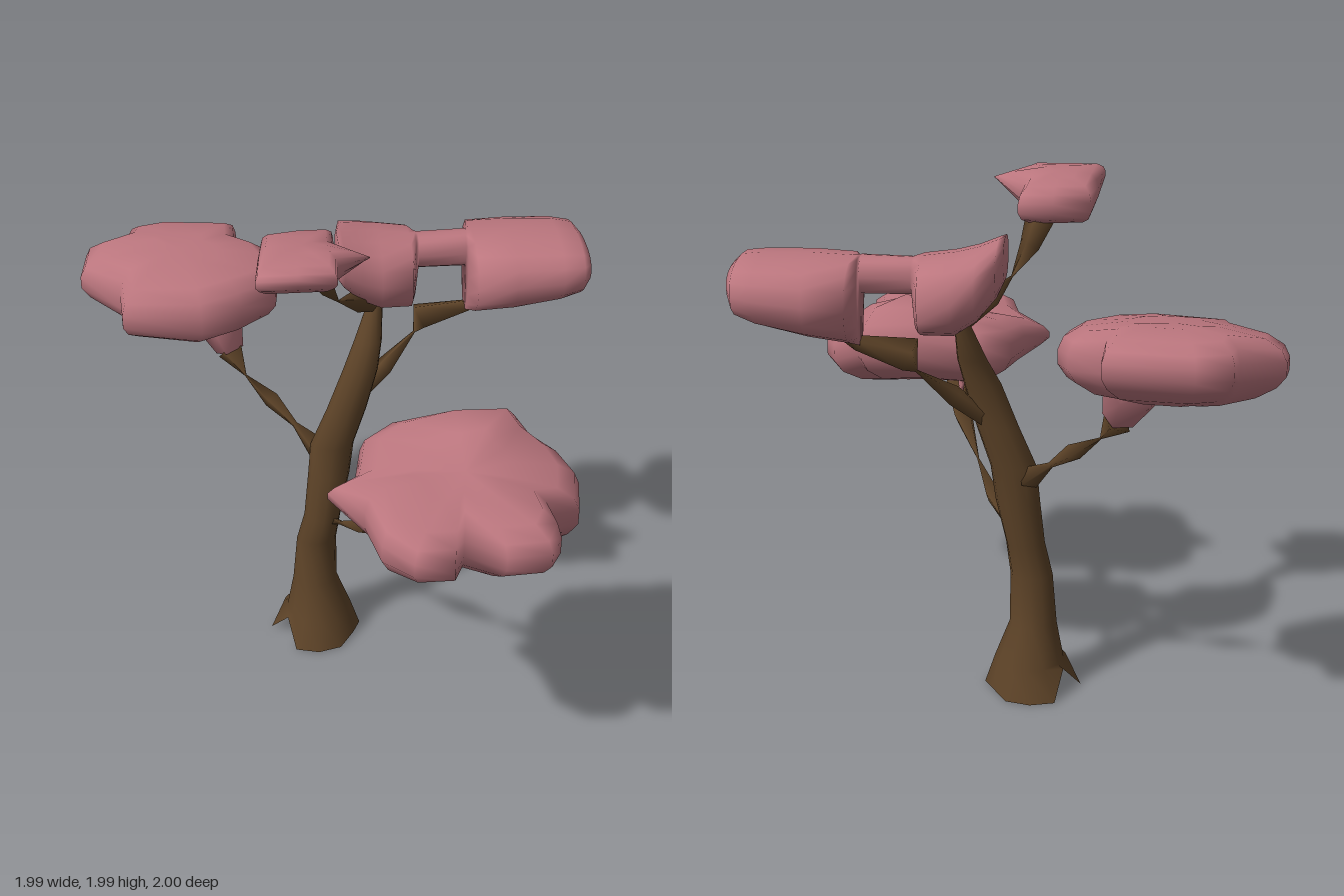
import * as THREE from 'three';

const bark = new THREE.MeshStandardMaterial({ color: 0x5c4227, side: THREE.DoubleSide });
const blossom = new THREE.MeshStandardMaterial({ color: 0xbb767e });
const V = (x, y, z) => new THREE.Vector3(x, y, z);

// Skin a list of closed rings (equal point counts), cap the ends, face outwards.
function loft(name, rings, material, capStart = true) {
  const n = rings[0].length, pts = rings.flat(), idx = [];
  for (let r = 0; r < rings.length - 1; r++) {
    for (let i = 0; i < n; i++) {
      const a = r * n + i, b = r * n + (i + 1) % n;
      idx.push(a, b, b + n, a, b + n, a + n);
    }
  }
  const cap = (start, flip) => {
    const c = V(0, 0, 0);
    for (let i = 0; i < n; i++) c.addScaledVector(pts[start + i], 1 / n);
    const k = pts.push(c) - 1;
    for (let i = 0; i < n; i++) {
      const a = start + i, b = start + (i + 1) % n;
      idx.push(k, flip ? b : a, flip ? a : b);
    }
  };
  if (capStart) cap(0, true);
  cap((rings.length - 1) * n, false);
  // reverse the winding when the enclosed volume is negative
  let volume = 0;
  const mid = pts[pts.length - 1], t = [V(), V(), V()];
  for (let i = 0; i < idx.length; i += 3) {
    t.forEach((v, k) => v.subVectors(pts[idx[i + k]], mid));
    volume += t[0].dot(t[1].clone().cross(t[2]));
  }
  if (volume < 0) idx.reverse();
  const geo = new THREE.BufferGeometry().setFromPoints(pts);
  geo.setIndex(idx);
  geo.computeVertexNormals();
  const mesh = new THREE.Mesh(geo, material);
  mesh.name = name;
  return mesh;
}

// Flat-sided branch along [x, y, z, radius] stops; it pinches where the radius is tiny.
function branch(name, stops, material = bark) {
  const p = stops.map(s => V(s[0], s[1], s[2]));
  const rings = stops.map((s, i) => {
    const dir = p[Math.min(i + 1, p.length - 1)].clone().sub(p[Math.max(i - 1, 0)]).normalize();
    const u = V(-dir.z, 0, dir.x).normalize(), v = dir.clone().cross(u);
    return [0, 1, 2, 3].map(k => {
      const a = k * Math.PI / 2 + 0.4;
      return p[i].clone().addScaledVector(u, s[3] * Math.cos(a)).addScaledVector(v, s[3] * Math.sin(a));
    });
  });
  return loft(name, rings, material);
}

// Lobed cushion: outline of [x, z, y, thickness], rounded over above and below its centre.
function cushion(name, centre, outline, h, bump = () => 0) {
  const profile = [[0.4, -1], [0.74, -0.88], [0.92, -0.6], [1, -0.25], [1, 0.2], [0.95, 0.58], [0.8, 0.87], [0.4, 1]];
  const rings = profile.map(([s, d]) => outline.map(([x, z, y, thick = 1]) => {
    const px = centre[0] + (x - centre[0]) * s, pz = centre[2] + (z - centre[2]) * s;
    const dy = d * THREE.MathUtils.lerp(1, thick, s * s) * (h + (d > 0 ? bump(px, pz) : 0));
    return V(px, centre[1] + (y - centre[1]) * s + dy, pz);
  }));
  return loft(name, rings, blossom);
}

export function createModel() {
  const tree = new THREE.Group();
  tree.name = 'tree';

  // Trunk: [x, y, z, radiusX, radiusZ], the foot flares into root points with a deep notch either side of the right one
  const notches = [0, 0.02, 0, 0, 0, 0.1, 0, 0.1, 0, 0, 0, 0.02];
  const trunk = [
    [-0.09, 0, -0.245, 0.19, 0.195], [-0.075, 0.12, -0.245, 0.135, 0.15], [-0.09, 0.27, -0.245, 0.092, 0.09],
    [-0.083, 0.47, -0.24, 0.082, 0.06], [-0.058, 0.6, -0.23, 0.075, 0.08], [-0.03, 0.78, -0.25, 0.085, 0.062],
    [-0.015, 0.92, -0.26, 0.088, 0.06], [0.045, 1.08, -0.265, 0.08, 0.06], [0.1, 1.25, -0.275, 0.07, 0.055],
    [0.135, 1.36, -0.32, 0.055, 0.05], [0.165, 1.5, -0.36, 0.03, 0.035], [0.19, 1.58, -0.39, 0.02, 0.02],
  ].map(([x, y, z, rx, rz], r) => notches.map((notch, i) => {
    const a = i / 12 * Math.PI * 2, up = r === 0 ? notch : 0, k = 1 - up * 2.5;
    return V(x + rx * k * Math.cos(a), y + up, z + rz * k * Math.sin(a));
  }));
  tree.add(loft('trunk', trunk, bark, false));

  // Branches
  tree.add(branch('rightBranch', [[-0.07, 0.88, -0.28, 0.05], [-0.16, 0.96, -0.35, 0.012], [-0.25, 1.04, -0.42, 0.035],
    [-0.35, 1.12, -0.49, 0.004], [-0.41, 1.21, -0.55, 0.06]]));
  tree.add(branch('rightBranchTip', [[-0.41, 1.21, -0.55, 0.06], [-0.45, 1.33, -0.58, 0.105], [-0.5, 1.42, -0.62, 0.11]], blossom));
  tree.add(branch('frontBranch', [[-0.02, 0.58, -0.19, 0.02], [0.01, 0.61, -0.13, 0.01], [0.09, 0.69, 0.02, 0.035],
    [0.165, 0.785, 0.18, 0.005], [0.24, 0.91, 0.34, 0.045], [0.28, 0.99, 0.48, 0.05], [0.32, 1.06, 0.55, 0.03]]));
  tree.add(branch('blossomSpike', [[0.25, 0.97, 0.35, 0.003], [0.25, 1.1, 0.37, 0.02]], blossom));
  tree.add(branch('leftBranch', [[0.07, 1.1, -0.28, 0.03], [0.2, 1.22, -0.34, 0.04], [0.33, 1.335, -0.41, 0.005],
    [0.35, 1.4, -0.42, 0.065], [0.54, 1.44, -0.42, 0.03], [0.65, 1.54, -0.42, 0.04]]));
  tree.add(branch('topBranch', [[0.16, 1.5, -0.35, 0.03], [0.08, 1.57, -0.25, 0.045], [0, 1.63, -0.14, 0.004],
    [-0.06, 1.73, -0.08, 0.04], [-0.1, 1.84, -0.03, 0.06]]));

  // Blossom cushions
  tree.add(cushion('rightBlossom', [-0.6, 1.465, -0.67], [
    [-1, -0.68, 1.48, 0.75], [-0.98, -0.83, 1.5, 0.75], [-0.82, -0.88, 1.5], [-0.8, -0.96, 1.52, 0.75], [-0.67, -1, 1.52, 0.75],
    [-0.36, -0.96, 1.52, 0.75], [-0.36, -0.82, 1.5], [-0.24, -0.77, 1.49, 0.85], [-0.2, -0.66, 1.48, 0.85], [-0.22, -0.5, 1.46, 0.85],
    [-0.36, -0.41, 1.45], [-0.52, -0.34, 1.44], [-0.83, -0.38, 1.45, 0.8], [-0.84, -0.54, 1.46],
  ], 0.143));
  tree.add(cushion('frontBlossom', [0.38, 1.145, 0.6], [
    [-0.1, 0.55, 1.21, 0.4], [0, 0.5, 1.19, 0.9], [0.04, 0.3, 1.21], [0.16, 0.2, 1.22], [0.4, 0.21, 1.23], [0.64, 0.21, 1.22],
    [0.68, 0.34, 1.2], [0.78, 0.38, 1.16], [0.83, 0.5, 1.15, 0.9], [0.8, 0.66, 1.14, 0.9], [0.68, 0.71, 1.16],
    [0.69, 0.88, 1.18], [0.64, 0.98, 1.19, 0.8], [0.48, 0.99, 1.19, 0.8], [0.35, 0.87, 1.18], [0.3, 1, 1.19, 0.8],
    [0.16, 1, 1.19, 0.8], [0.06, 0.89, 1.19], [0.02, 0.68, 1.19],
  ], 0.143, (x, z) => 0.09 * Math.exp(-((x - 0.5) ** 2 + (z - 0.38) ** 2) / 0.04)));
  tree.add(cushion('topBlossom', [-0.17, 1.903, 0.09], [
    [-0.29, -0.1, 1.885], [-0.15, -0.13, 1.885], [-0.02, -0.13, 1.885], [-0.03, 0.02, 1.9], [0.09, 0.14, 1.95, 0.1],
    [-0.03, 0.19, 1.93], [-0.04, 0.3, 1.94, 0.6], [-0.18, 0.3, 1.94, 0.6], [-0.33, 0.3, 1.94, 0.6], [-0.31, 0.08, 1.91],
  ], 0.08));

  // Double blossom with a narrow neck: [x, centreZ, halfZ, bottomY, topY]
  const double = [
    [0.01, -0.3, 0.12, 1.66, 1.82], [0.03, -0.36, 0.19, 1.62, 1.82], [0.1, -0.4, 0.21, 1.54, 1.8],
    [0.18, -0.42, 0.21, 1.49, 1.785], [0.3, -0.42, 0.2, 1.49, 1.77], [0.325, -0.42, 0.08, 1.5, 1.77],
    [0.335, -0.42, 0.07, 1.63, 1.765], [0.52, -0.42, 0.07, 1.63, 1.77], [0.53, -0.42, 0.08, 1.43, 1.77],
    [0.55, -0.43, 0.23, 1.46, 1.77], [0.7, -0.42, 0.24, 1.48, 1.775], [0.88, -0.41, 0.24, 1.52, 1.77],
    [0.96, -0.4, 0.22, 1.55, 1.76], [0.99, -0.38, 0.16, 1.6, 1.73],
  ].map(([x, z, hz, y0, y1]) => Array.from({ length: 16 }, (_, i) => {
    const a = i / 16 * Math.PI * 2, c = Math.cos(a), s = Math.sin(a);
    const soft = t => Math.sign(t) * Math.abs(t) ** 0.85;
    return V(x, (y0 + y1) / 2 + (y1 - y0) / 2 * soft(s), z + hz * soft(c));
  }));
  tree.add(loft('leftBlossom', double, blossom));
  return tree;
}
